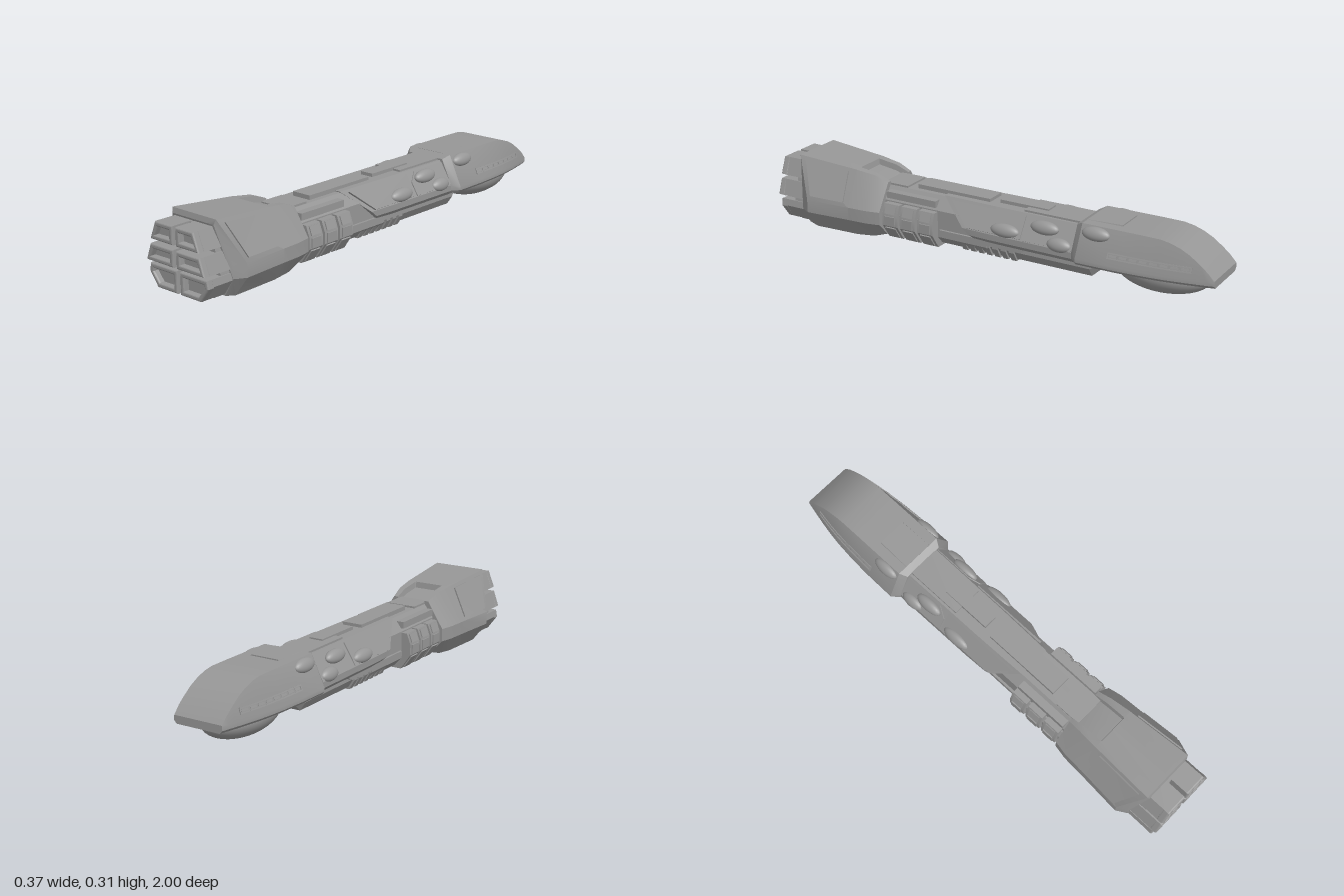
import * as THREE from 'three';
import { toCreasedNormals } from 'three/addons/utils/BufferGeometryUtils.js';

const mat = new THREE.MeshStandardMaterial({ color: 0x969696 });

function fromPoints(p) {
  const g = new THREE.BufferGeometry();
  g.setAttribute('position', new THREE.Float32BufferAttribute(p.flat(), 3));
  return toCreasedNormals(g, 0.45);
}

// Skin symmetric half-profiles (top to bottom, [x, y, optional z]) along increasing z
function loft(sections) {
  const rings = sections.map(([z, pts]) => {
    const h = pts.map(([x, y, pz]) => [x, y, pz ?? z]);
    const left = h.filter(p => p[0] > 0).map(([x, y, pz]) => [-x, y, pz]);
    return [...left, ...h.reverse()];
  });
  const out = [], n = rings[0].length;
  for (let s = 0; s + 1 < rings.length; s++) {
    const a = rings[s], b = rings[s + 1];
    for (let i = 0; i < n; i++) {
      const j = (i + 1) % n;
      out.push(a[i], a[j], b[j], a[i], b[j], b[i]);
    }
  }
  const cap = (r, back) => {
    const v = r.map(p => new THREE.Vector2(p[0], p[1]));
    for (const [a, b, c] of THREE.ShapeUtils.triangulateShape(v, []))
      out.push(r[a], back ? r[c] : r[b], back ? r[b] : r[c]);
  };
  cap(rings[0], true);
  cap(rings[rings.length - 1], false);
  return fromPoints(out);
}

// Raised armour plate over a nearly flat polygon on the +x side
function plate(corners, t) {
  const c = corners.map(p => new THREE.Vector3(...p));
  const normal = () => c[1].clone().sub(c[0]).cross(c[2].clone().sub(c[0])).normalize();
  if (normal().x < 0) c.reverse();
  const n = normal();
  const lo = c.map(p => p.clone().addScaledVector(n, -0.012).toArray());
  const hi = c.map(p => p.clone().addScaledVector(n, t).toArray());
  const out = [];
  for (let i = 0; i < c.length; i++) {
    const j = (i + 1) % c.length;
    out.push(lo[i], lo[j], hi[j], lo[i], hi[j], hi[i]);
    if (i > 0 && j > 0) out.push(hi[0], hi[i], hi[j]);
  }
  return fromPoints(out);
}

// Mirror across x = 0 and restore the winding
function mirrored(geo) {
  const g = geo.index ? geo.toNonIndexed() : geo.clone();
  g.scale(-1, 1, 1);
  for (const k of ['position', 'normal']) {
    const a = g.attributes[k].array;
    for (let i = 0; i < a.length; i += 9)
      for (let d = 3; d < 6; d++) [a[i + d], a[i + d + 3]] = [a[i + d + 3], a[i + d]];
  }
  return g;
}

export function createModel() {
  const root = new THREE.Group();
  root.name = 'spaceship';
  const add = (name, geo) => {
    const m = new THREE.Mesh(geo, mat);
    m.name = name;
    root.add(m);
  };
  const both = (name, geo) => {
    add(name + 'Left', geo);
    add(name + 'Right', mirrored(geo));
  };
  const box = (x0, x1, y0, y1, z0, z1) =>
    new THREE.BoxGeometry(x1 - x0, y1 - y0, z1 - z0).translate((x0 + x1) / 2, (y0 + y1) / 2, (z0 + z1) / 2);
  const prism = (z0, z1, pts) => loft([[z0, pts], [z1, pts]].map(([z, p]) => [z, [...p]]));

  // Bow: flat roof curving down to a wedge tip
  const bow = [[-1, 0.142, 0.108], [-0.97, 0.172, 0.115], [-0.94, 0.196, 0.122], [-0.9, 0.224, 0.131],
    [-0.86, 0.244, 0.139], [-0.82, 0.257, 0.146], [-0.78, 0.264, 0.152], [-0.7, 0.265, 0.16],
    [-0.6, 0.265, 0.166], [-0.45, 0.265, 0.168]];
  const roofX = w => Math.min(0.108, w - 0.002);
  const bowSection = (z, y, w) => [z, [[0, y], [roofX(w), y], [w, 0.137], [w, 0.122], [w - 0.012, 0.11], [0, 0.11]]];
  add('bow', loft([...bow.map(s => bowSection(...s)),
    [-0.42, [[0, 0.25], [0.09, 0.25], [0.14, 0.145], [0.14, 0.122], [0.13, 0.11], [0, 0.11]]]]));
  add('bowBelly', new THREE.SphereGeometry(1, 40, 24).scale(0.115, 0.085, 0.2).translate(0, 0.1, -0.75));
  add('bowRoofPanel', loft([[-0.6, [[0, 0.27], [0.062, 0.27], [0.066, 0.26], [0, 0.26]]],
    [-0.45, [[0, 0.266], [0.066, 0.266], [0.07, 0.26], [0, 0.26]]]]));

  // Bow side slots: a frame following the curved flank with small blocks inside
  const flank = (z, y) => {
    const i = Math.max(1, bow.findIndex(s => s[0] >= z));
    const a = bow[i - 1], b = bow[i], t = (z - a[0]) / (b[0] - a[0]);
    const top = a[1] + (b[1] - a[1]) * t, w = a[2] + (b[2] - a[2]) * t;
    return [w + (roofX(w) - w) * (y - 0.137) / (top - 0.137), y, z];
  };
  const flankPlate = (name, z0, z1, y0, y1, t) =>
    both(name, plate([flank(z0, y0), flank(z1, y0), flank(z1, y1), flank(z0, y1)], t));
  for (let i = 0; i < 8; i++) {
    const z = -0.91 + i * 0.041;
    flankPlate('slotRailLower', z, z + 0.041, 0.161, 0.166, 0.004);
    flankPlate('slotRailUpper', z, z + 0.041, 0.179, 0.184, 0.004);
    flankPlate('slotBlock', z + 0.005, z + 0.036, 0.168, 0.177, 0.002);
  }
  flankPlate('slotEndFront', -0.914, -0.908, 0.161, 0.184, 0.004);
  flankPlate('slotEndRear', -0.586, -0.58, 0.161, 0.184, 0.004);

  // Main hull, its rear end cut on a diagonal over the narrow neck
  const hull = (z, w, s, dz = 0) => [z, [[0, 0.243], [s, 0.243], [w, 0.145, z - 0.6 * dz], [w, 0.12, z - 0.75 * dz],
    [w - 0.02, 0.1, z - 0.85 * dz], [0, 0.1, z - 0.85 * dz]]];
  add('hull', loft([hull(-0.47, 0.14, 0.078), hull(-0.05, 0.137, 0.075), hull(0.2, 0.133, 0.07, 0.2)]));
  add('neck', prism(-0.02, 0.5, [[0, 0.238], [0.068, 0.238], [0.108, 0.185], [0.108, 0.07], [0.075, 0.035], [0, 0.035]]));
  add('keel', loft([[-0.55, [[0, 0.115], [0.07, 0.115], [0.07, 0.108], [0.05, 0.1], [0, 0.1]]],
    ...[-0.48, 0.2].map(z => [z, [[0, 0.115], [0.1, 0.115], [0.1, 0.075], [0.075, 0.038], [0, 0.038]]])]));
  both('keelRail', plate([[0.112, 0.084, -0.18], [0.112, 0.084, 0.2], [0.112, 0.106, 0.2], [0.112, 0.106, -0.22]], 0.006));
  for (let i = 0; i < 7; i++) {
    const z = -0.145 + i * 0.038;
    add('keelRib', prism(z, z + 0.024, [[0, 0.09], [0.105, 0.09], [0.105, 0.07], [0.08, 0.029], [0, 0.029]]));
  }

  // Hull armour plates on the sloping sides
  const side = ([z, y]) => [0.139 - (y - 0.145) * 0.62, y, z];
  both('forePlate', plate([[-0.42, 0.235], [-0.24, 0.235], [-0.2, 0.2], [-0.2, 0.148], [-0.42, 0.148]].map(side), 0.003));
  both('midPlate', plate([[-0.19, 0.235], [0.16, 0.235], [0.06, 0.15], [-0.19, 0.15]].map(side), 0.003));

  // Dorsal strips
  const strips = [[0.066, 0.251, -0.46, -0.17], [0.03, 0.257, -0.26, -0.04], [0.045, 0.256, 0, 0.345], [0.066, 0.246, 0.385, 0.5]];
  for (const [w, y, a, b] of strips) add('dorsalStrip', box(-w, w, 0.225, y, a, b));

  // Oval blisters along both flanks
  for (const [x, y, z, r] of [[0.124, 0.17, -0.115, 0.065], [0.106, 0.21, -0.285, 0.063],
    [0.128, 0.16, -0.36, 0.053], [0.12, 0.236, -0.515, 0.06]])
    both('blister', new THREE.SphereGeometry(1, 24, 16).scale(0.022, 0.028, r).rotateZ(0.5).translate(x, y, z));

  // Neck machinery: three bands wrapped under the neck, with raised faces
  both('neckBar', box(0.07, 0.112, 0.196, 0.224, 0.22, 0.46));
  const wrap = d => [[0, 0.18 - d], [0.133 - d, 0.18 - d], [0.15 - d, 0.135], [0.15 - d, 0.088],
    [0.105 - d / 2, 0.024 + d], [0, 0.024 + d]];
  add('neckCore', prism(0.215, 0.47, wrap(0.018)));
  for (let i = 0; i < 3; i++) {
    const z = 0.212 + i * 0.086;
    add('neckBand', prism(z, z + 0.074, wrap(0)));
    const a = z + 0.012, b = z + 0.062;
    for (const [x0, y0, x1, y1] of [[0.148, 0.14, 0.135, 0.174], [0.15, 0.092, 0.15, 0.131], [0.11, 0.031, 0.146, 0.082]])
      both('neckBandFace', plate([[x0, y0, a], [x0, y0, b], [x1, y1, b], [x1, y1, a]], 0.005));
  }

  // Engine block with a stepped notch in its roof
  const block = (z, notch, top, tx, w, by, bx) => [z, [[0, notch], [0.062, notch], [0.066, top], [tx, top],
    [w, 0.14], [w, 0.085], [bx, by], [0, by]]];
  add('engineBlock', loft([
    block(0.47, 0.232, 0.252, 0.085, 0.156, 0.028, 0.1),
    block(0.53, 0.25, 0.275, 0.092, 0.168, 0.01, 0.11),
    block(0.615, 0.262, 0.286, 0.1, 0.173, 0.002, 0.115),
    block(0.62, 0.287, 0.287, 0.1, 0.173, 0.002, 0.115),
    [0, [[0, 0.309, 0.9], [0.062, 0.309, 0.9], [0.066, 0.309, 0.9], [0.116, 0.309, 0.9],
      [0.187, 0.14, 0.82], [0.187, 0.085, 0.82], [0.12, 0, 0.82], [0, 0, 0.82]]],
    [0, [[0, 0.288, 0.905], [0.062, 0.288, 0.905], [0.066, 0.288, 0.905], [0.108, 0.288, 0.905],
      [0.16, 0.14, 0.865], [0.16, 0.085, 0.865], [0.115, 0.01, 0.865], [0, 0.01, 0.865]]],
  ]));
  const mix = (a, b, t) => a.map((v, i) => v + (b[i] - v) * t);
  const flare = (u, v) => mix(mix([0.1, 0.287, 0.62], [0.116, 0.309, 0.9], u),
    mix([0.173, 0.14, 0.62], [0.187, 0.14, 0.82], u), v);
  both('enginePanel', plate([flare(0.12, 0.1), flare(0.9, 0.1), flare(0.9, 0.9), flare(0.12, 0.9)], 0.006));
  add('nozzleMount', prism(0.8, 0.915, [[0, 0.28], [0.1, 0.28], [0.146, 0.12], [0.15, 0.08], [0.11, 0.015], [0, 0.015]]));

  // Six thruster nozzles with rounded rims and recessed faces
  const nozzles = [
    [1, [[0.008, 0.208], [0.128, 0.208], [0.1, 0.281], [0.008, 0.281]]],
    [1, [[0.008, 0.123], [0.153, 0.123], [0.13, 0.191], [0.008, 0.191]]],
    [0.985, [[0.008, 0.019], [0.114, 0.019], [0.157, 0.08], [0.152, 0.108], [0.008, 0.108]]],
  ];
  for (const [end, pts] of nozzles) {
    const xs = pts.map(p => p[0]), ys = pts.map(p => p[1]);
    const mid = a => (Math.min(...a) + Math.max(...a)) / 2;
    const span = a => Math.max(...a) - Math.min(...a);
    const cx = mid(xs), cy = mid(ys);
    const inset = d => pts.map(([x, y]) => new THREE.Vector2(
      cx + (x - cx) * (1 - 2 * d / span(xs)), cy + (y - cy) * (1 - 2 * d / span(ys))));
    both('nozzleBody', new THREE.ExtrudeGeometry(new THREE.Shape(inset(0)),
      { depth: end - 0.025 - 0.86, bevelEnabled: false }).translate(0, 0, 0.86));
    const rim = new THREE.Shape(inset(0.006));
    rim.holes.push(new THREE.Path(inset(0.013)));
    both('nozzleRim', new THREE.ExtrudeGeometry(rim,
      { depth: 0.018, bevelThickness: 0.007, bevelSize: 0.006, bevelSegments: 3 }).translate(0, 0, end - 0.025));
  }
  return root;
}
